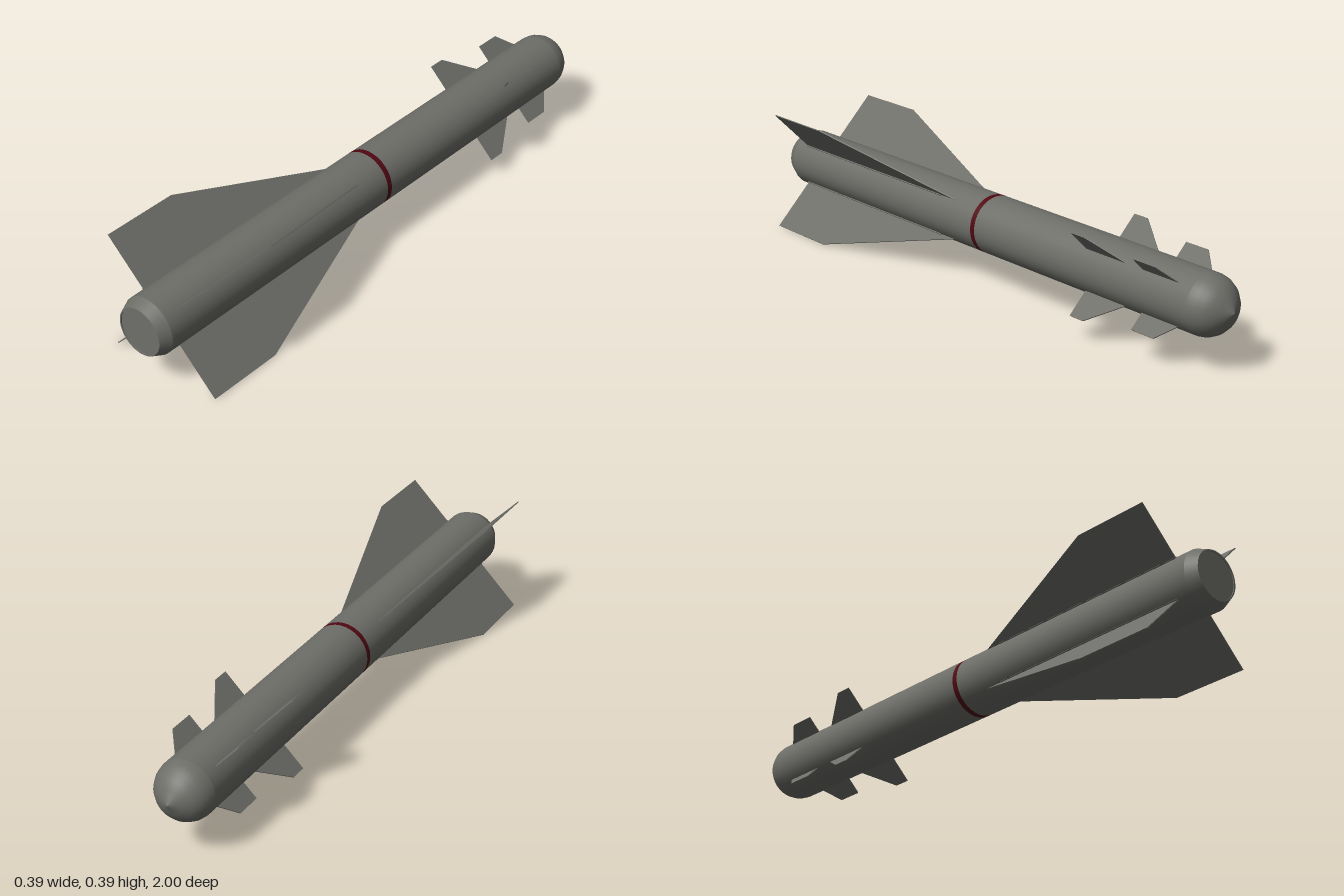
import * as THREE from 'three';

const AXIS_Y = 0.197, R = 0.094, SEGMENTS = 32;

export function createModel() {
  const model = new THREE.Group();
  model.name = 'missile';
  const grey = new THREE.MeshStandardMaterial({ color: 0x6e6e69 });
  grey.name = 'hull grey';
  const red = new THREE.MeshStandardMaterial({ color: 0x500812 });
  red.name = 'band dark red';

  const add = (name, geometry, material) => {
    const mesh = new THREE.Mesh(geometry, material);
    mesh.name = name;
    mesh.position.y = AXIS_Y;
    model.add(mesh);
  };

  // Turned part along z; points are [radius, z], listed from tail to nose
  const turned = (name, points, material = grey) => {
    const profile = points.map(([r, z]) => new THREE.Vector2(r, -z));
    add(name, new THREE.LatheGeometry(profile, SEGMENTS).rotateX(-Math.PI / 2), material);
  };

  // Hull, from the flat tail to the rounded nose with its small point
  turned('tailPlate', [[0, 0.997], [0.073, 0.997]]);
  turned('tailRim', [[0.073, 1], [0.078, 1]]);
  turned('tailRimInner', [[0.073, 0.997], [0.073, 1]]);
  turned('tailChamfer', [[0.078, 1], [R, 0.963]]);
  turned('rearBody', [[R, 0.963], [R, 0.019]]);
  turned('band', [[R, 0.019], [R, 0]], red);
  turned('frontBody', [[R, 0], [R, -0.9]]);
  turned('nose', [[R, -0.9], [0.09, -0.924], [0.079, -0.947], [0.062, -0.966], [0.038, -0.981], [0, -1]]);

  // Swept fins: root front, tip front, trailing edge and tip radius
  const fins = [
    { name: 'tailFin', rootZ: 0.13, tipZ: 0.66, backZ: 0.912, tipR: 0.277 },
    { name: 'midFin', rootZ: -0.64, tipZ: -0.53, backZ: -0.475, tipR: 0.182 },
    { name: 'noseFin', rootZ: -0.85, tipZ: -0.795, backZ: -0.708, tipR: 0.152 },
  ];
  const thickness = 0.003;
  for (const { name, rootZ, tipZ, backZ, tipR } of fins) {
    const outline = new THREE.Shape([
      [0.088, -backZ], [tipR, -backZ], [tipR, -tipZ], [R, -rootZ], [0.088, -rootZ],
    ].map(([r, z]) => new THREE.Vector2(r, z)));
    for (let i = 0; i < 4; i++) {
      const angle = Math.PI / 4 + i * Math.PI / 2;
      const fin = new THREE.ExtrudeGeometry(outline, { depth: thickness, bevelEnabled: false });
      fin.translate(0, 0, -thickness / 2).rotateX(-Math.PI / 2).rotateZ(angle);
      add(name + (i + 1), fin, grey);

      // Low fairing along the root of each tail fin
      if (name === 'tailFin') {
        const root = new THREE.BoxGeometry(0.008, 0.01, backZ - rootZ - 0.06);
        root.translate(R - 0.001, 0, (backZ + rootZ + 0.06) / 2).rotateZ(angle);
        add('finRoot' + (i + 1), root, grey);
      }
    }
  }
  return model;
}
